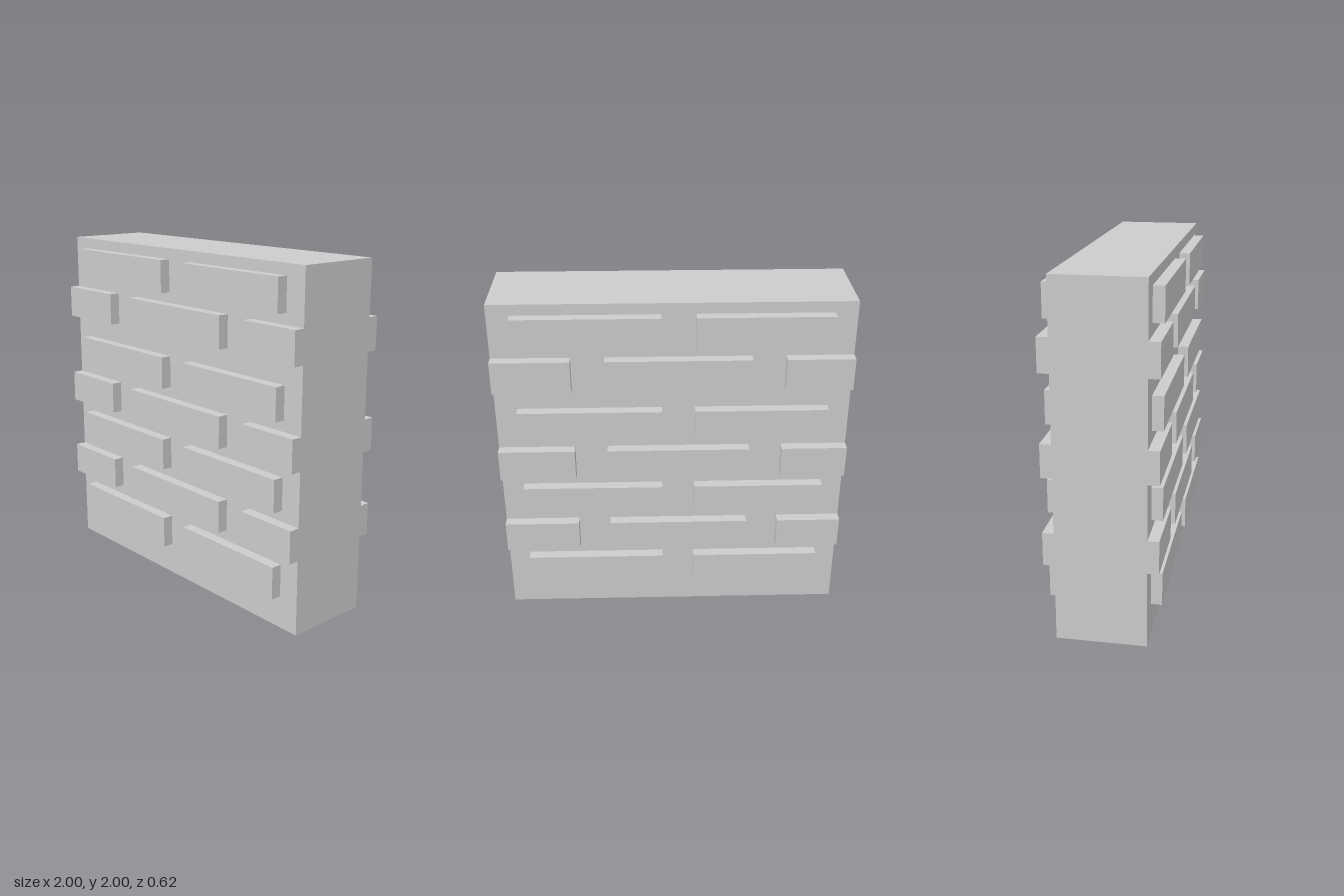
import * as THREE from 'three';

const material = new THREE.MeshStandardMaterial({ color: 0xcccccc, flatShading: true });

// Box given by its x, y and z extents
function block(name, [x0, x1], [y0, y1], [z0, z1]) {
  const mesh = new THREE.Mesh(new THREE.BoxGeometry(x1 - x0, y1 - y0, z1 - z0), material);
  mesh.position.set((x0 + x1) / 2, (y0 + y1) / 2, (z0 + z1) / 2);
  mesh.name = name;
  return mesh;
}

// One face of raised bricks in alternating courses
function brickFace(name) {
  const face = new THREE.Group();
  face.name = name;
  const brickHeight = 0.1875;
  const courseBottoms = [0.1875, 0.4375, 0.6875, 0.9375, 1.1875, 1.5, 1.75];
  const wholeCourse = [[-0.875, -0.0625], [0.125, 0.875]];
  const offsetCourse = [[-1, -0.5625], [-0.375, 0.4375], [0.625, 1]];
  courseBottoms.forEach((y, row) => {
    for (const span of row % 2 ? offsetCourse : wholeCourse) {
      face.add(block('brick', span, [y, y + brickHeight], [0.25, 0.3125]));
    }
  });
  return face;
}

export function createModel() {
  const wall = new THREE.Group();
  wall.name = 'brickWall';
  wall.add(block('wallCore', [-1, 1], [0, 2], [-0.25, 0.25]));

  // The back repeats the front, turned half a circle
  const back = brickFace('backBricks');
  back.rotation.y = Math.PI;
  wall.add(brickFace('frontBricks'), back);
  return wall;
}
